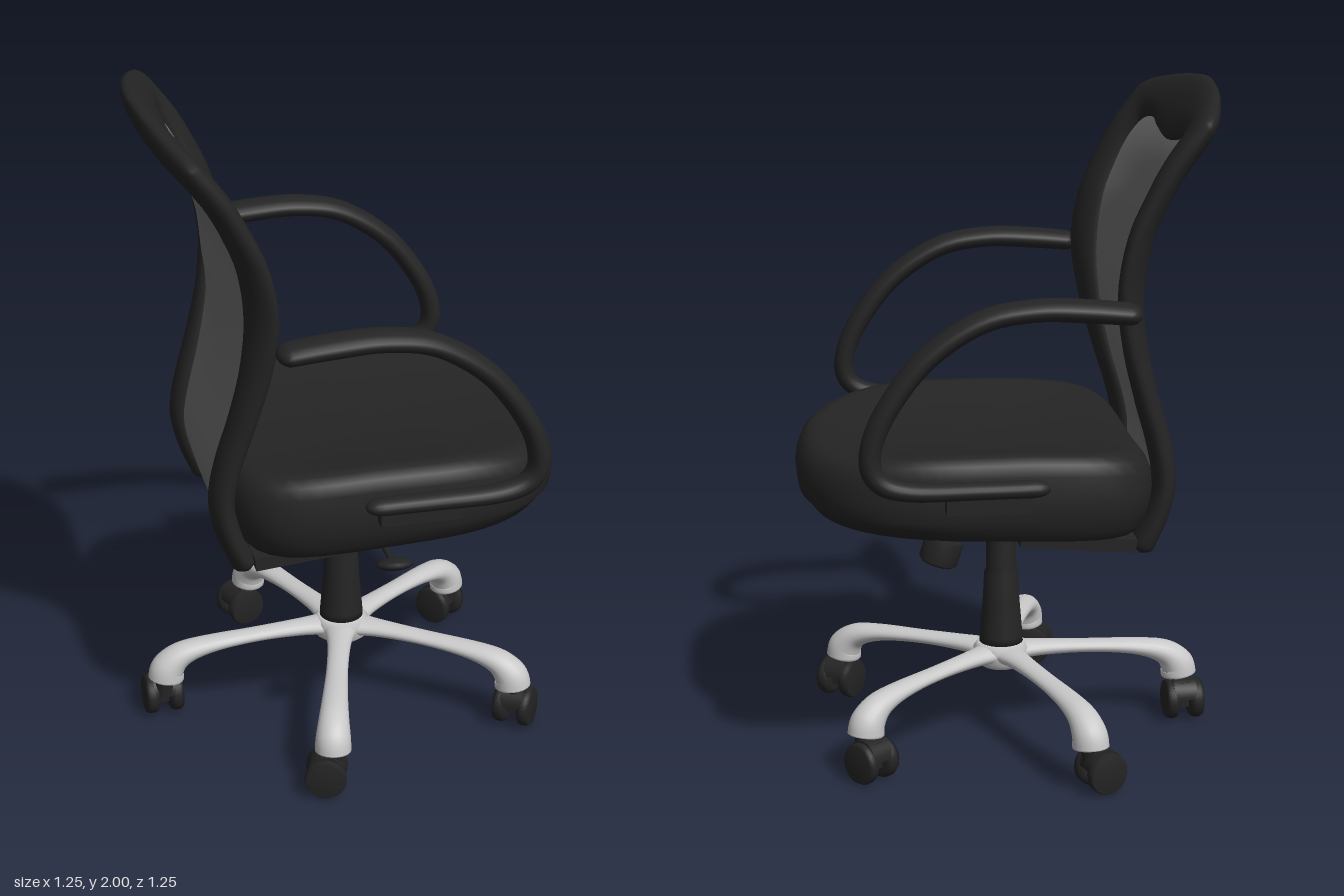
import * as THREE from 'three';

const mat = (name, color) => Object.assign(new THREE.MeshStandardMaterial({ color }), { name });
const V = (x, y, z) => new THREE.Vector3(x, y, z);

// Smooth interpolation in a table of [key, value] rows with rising keys
function interp(tab, k) {
  const n = tab.length - 1;
  let i = 0;
  while (i < n - 1 && k > tab[i + 1][0]) i++;
  const slope = (j) => {
    const a = tab[Math.max(j - 1, 0)], b = tab[Math.min(j + 1, n)];
    return (b[1] - a[1]) / (b[0] - a[0]);
  };
  const [x0, y0] = tab[i], [x1, y1] = tab[i + 1], h = x1 - x0;
  const t = Math.min(1, Math.max(0, (k - x0) / h)), t2 = t * t, t3 = t2 * t;
  return y0 * (2 * t3 - 3 * t2 + 1) + h * slope(i) * (t3 - 2 * t2 + t)
    + y1 * (3 * t2 - 2 * t3) + h * slope(i + 1) * (t3 - t2);
}

// Skin between rings of points; closed rings are turned so that faces point outward
function loft(rings, closed = true) {
  const m = rings[0].length, pos = [], idx = [];
  rings.forEach((r) => r.forEach((p) => pos.push(p.x, p.y, p.z)));
  for (let i = 0; i < rings.length - 1; i++) {
    for (let j = 0; j < (closed ? m : m - 1); j++) {
      const k = (j + 1) % m, a = i * m + j, b = i * m + k, c = a + m, d = b + m;
      idx.push(a, b, d, a, d, c);
    }
  }
  if (closed) {
    const P = (i) => V(pos[3 * i], pos[3 * i + 1], pos[3 * i + 2]);
    let vol = 0;
    for (let i = 0; i < idx.length; i += 3) vol += P(idx[i]).dot(P(idx[i + 1]).cross(P(idx[i + 2])));
    if (vol < 0) idx.reverse();
  }
  const g = new THREE.BufferGeometry();
  g.setAttribute('position', new THREE.Float32BufferAttribute(pos, 3));
  g.setIndex(idx);
  g.computeVertexNormals();
  return g;
}

// Oval bar along a path in the xy plane; rows are [x, y, half thickness, half width]
function sweep(rows, sides = 20) {
  const path = new THREE.CatmullRomCurve3(rows.map((r) => V(r[0], r[1], 0)), false, 'catmullrom');
  const size = new THREE.CatmullRomCurve3(rows.map((r) => V(r[2], r[3], 0)), false, 'catmullrom');
  const e = 0.025, end = [0, 0.001, 0.004, 0.009, 0.016];
  const ts = [...end];
  for (let i = 0; i <= 48; i++) ts.push(e + (1 - 2 * e) * i / 48);
  ts.push(...end.map((t) => 1 - t).reverse());
  return loft(ts.map((t) => {
    const p = path.getPoint(t), d = path.getTangent(t), s = size.getPoint(t);
    const f = Math.max(0, (e - Math.min(t, 1 - t)) / e), k = Math.sqrt(Math.max(0, 1 - f * f));
    return Array.from({ length: sides }, (_, j) => {
      const a = j / sides * Math.PI * 2, o = Math.sin(a) * s.x * k;
      return V(p.x - d.y * o, p.y + d.x * o, Math.cos(a) * s.y * k);
    });
  }));
}

// Backrest surface: S-shaped edge profile and hollow across the width
const EDGE = [[0.66, -0.34], [0.78, -0.39], [0.88, -0.408], [1, -0.385], [1.13, -0.34], [1.3, -0.285],
  [1.45, -0.265], [1.6, -0.30], [1.7, -0.35], [1.8, -0.41], [1.9, -0.485], [2, -0.55]];
const BOW = [[0.66, 0.015], [1, 0.02], [1.15, 0.04], [1.45, 0.115], [1.6, 0.095], [1.8, 0.05], [2, 0.045]];
const backX = (y, z) => interp(EDGE, y) - interp(BOW, y) * (1 - (z / 0.47) ** 2);

function backFrame() {
  // Matching half outlines [z, y] from the top centre down to the foot
  const outer = [[0, 2], [0.2, 1.985], [0.38, 1.955], [0.462, 1.93], [0.477, 1.89], [0.468, 1.75], [0.45, 1.5],
    [0.42, 1.2], [0.4, 1], [0.395, 0.8], [0.385, 0.69], [0.36, 0.66]];
  const inner = [[0, 1.82], [0.12, 1.83], [0.22, 1.85], [0.3, 1.845], [0.335, 1.81], [0.345, 1.72], [0.33, 1.5],
    [0.295, 1.2], [0.27, 1], [0.265, 0.8], [0.26, 0.69], [0.28, 0.66]];
  const curve = (h) => new THREE.CatmullRomCurve3(
    [...h.slice(1).reverse().map(([z, y]) => V(0, y, -z)), ...h.map(([z, y]) => V(0, y, z))], false, 'catmullrom');
  const A = curve(outer), B = curve(inner), N = 140, K = 18, rings = [];
  for (let i = 0; i <= N; i++) {
    const t = i / N, a = A.getPoint(t), b = B.getPoint(t), th = 0.036 * Math.min(1, Math.sqrt(Math.min(t, 1 - t) / 0.03));
    rings.push(Array.from({ length: K }, (_, j) => {
      const q = j / K * Math.PI * 2, p = a.clone().lerp(b, (1 - Math.cos(q)) / 2);
      const slope = (backX(p.y + 0.01, p.z) - backX(p.y - 0.01, p.z)) / 0.02, o = th * Math.sin(q) / Math.hypot(1, slope);
      return V(backX(p.y, p.z) + o, p.y - slope * o, p.z);
    }));
  }
  return loft(rings);
}

function backMesh() {
  const rings = [];
  for (let i = 0; i <= 40; i++) {
    const y = 0.665 + 1.215 * i / 40, w = 0.3 + 0.1 * i / 40;
    rings.push(Array.from({ length: 25 }, (_, j) => {
      const z = w * (1 - j / 12);
      return V(backX(y, z), y, z);
    }));
  }
  return loft(rings, false);
}

// Seat cushion: rounded outline scaled through a profile of [scale, height]
function cushion() {
  const prof = [[0, 0.735], [0.5, 0.735], [0.84, 0.735], [0.92, 0.745], [0.965, 0.775], [0.99, 0.815], [1, 0.86],
    [0.992, 0.9], [0.965, 0.935], [0.92, 0.958], [0.85, 0.965], [0.7, 0.957], [0.5, 0.95], [0.25, 0.945], [0, 0.945]];
  const M = 72;
  return loft(prof.map(([s, y]) => Array.from({ length: M }, (_, j) => {
    const a = j / M * Math.PI * 2, c = Math.cos(a), d = Math.sin(a), n = c > 0 ? 2.7 : 5;
    const r = s / (Math.abs(c) ** n + Math.abs(d) ** n) ** (1 / n);
    const x = 0.12 + 0.515 * c * r, z = 0.51 * d * r;
    const shape = y > 0.87 ? 0.035 * (z / 0.45) ** 2 - 0.04 * Math.max(0, -x) - 0.05 * Math.max(0, x - 0.3)
      : y < 0.8 ? 0.045 * x : 0;
    return V(x, y + shape, z);
  })));
}

export function createModel() {
  const root = new THREE.Group();
  const black = mat('black', 0x242424), silver = mat('silver', 0xc8c8c8), grey = mat('mesh grey', 0x707070);
  grey.side = THREE.DoubleSide;
  const add = (name, geo, m, parent = root, x = 0, y = 0, z = 0) => {
    const o = new THREE.Mesh(geo, m);
    o.name = name;
    o.position.set(x, y, z);
    parent.add(o);
    return o;
  };
  const group = (name, parent = root) => {
    const g = new THREE.Group();
    g.name = name;
    parent.add(g);
    return g;
  };
  const box = (w, h, d) => new THREE.BoxGeometry(w, h, d);
  const lathe = (pts) => new THREE.LatheGeometry(pts.map((p) => new THREE.Vector2(...p)), 28);

  // Back and seat
  add('backFrame', backFrame(), black);
  add('backMesh', backMesh(), grey);
  add('seatCushion', cushion(), black);

  // Armrests and lower back brackets on both sides
  for (const s of [1, -1]) {
    const arm = group(s > 0 ? 'leftArm' : 'rightArm');
    add('armLoop', sweep([[-0.3, 1.415, 0.03, 0.056], [-0.15, 1.43, 0.032, 0.058], [0, 1.435, 0.031, 0.057],
      [0.15, 1.405, 0.031, 0.054], [0.3, 1.305, 0.031, 0.05], [0.41, 1.16, 0.031, 0.045], [0.453, 1.04, 0.031, 0.04],
      [0.43, 0.965, 0.03, 0.037], [0.34, 0.933, 0.027, 0.036], [0.15, 0.93, 0.025, 0.035], [-0.05, 0.93, 0.025, 0.034]]),
    black, arm, 0, 0, s * 0.567);
    add('armBracket', box(0.24, 0.07, 0.09), black, arm, 0.12, 0.89, s * 0.505);
    add('backBracket', box(0.34, 0.04, 0.13), black, root, -0.16, 0.705, s * 0.32).rotation.z = 0.09;
  }

  // Tilt mechanism, lever and tension knob
  add('tiltMechanism', box(0.36, 0.06, 0.15), black, root, 0.06, 0.72, 0);
  add('leverRod', new THREE.CylinderGeometry(0.009, 0.009, 0.45, 10), black, root, 0.05, 0.708, 0.27).rotation.x = Math.PI / 2;
  const paddle = add('leverPaddle', new THREE.SphereGeometry(1, 16, 10), black, root, 0.05, 0.715, 0.515);
  paddle.scale.set(0.055, 0.018, 0.048);
  paddle.rotation.x = -0.3;
  const knob = group('tensionKnob');
  knob.position.set(0.145, 0.75, 0);
  knob.rotation.z = 0.31;
  const ribs = [];
  for (let i = 0; i <= 16; i++) ribs.push([i % 2 ? 0.042 : 0.055, -0.15 + i * 0.01]);
  add('bellows', lathe(ribs), black, knob);
  add('knobGrip', lathe([[0, -0.225], [0.05, -0.225], [0.06, -0.215], [0.06, -0.15], [0.052, -0.14], [0, -0.14]]), black, knob);

  // Gas lift
  const cx = 0.017;
  add('liftRod', new THREE.CylinderGeometry(0.026, 0.026, 0.12, 20), black, root, cx, 0.68, 0);
  add('liftColumn', lathe([[0, 0.27], [0.068, 0.27], [0.066, 0.3], [0.056, 0.42], [0.052, 0.5], [0.047, 0.51],
    [0.045, 0.625], [0.042, 0.635], [0, 0.635]]), black, root, cx);

  // Star base with five casters
  const base = group('starBase');
  base.position.x = cx;
  add('hub', lathe([[0, 0.2], [0.06, 0.2], [0.085, 0.22], [0.085, 0.262], [0.07, 0.278], [0, 0.28]]), silver, base);
  const legGeo = sweep([[0.02, 0.245, 0.03, 0.06], [0.13, 0.247, 0.024, 0.038], [0.28, 0.243, 0.02, 0.033],
    [0.42, 0.232, 0.025, 0.038], [0.51, 0.21, 0.037, 0.045], [0.555, 0.17, 0.052, 0.052], [0.565, 0.128, 0.056, 0.054]]);
  const wheelGeo = lathe([[0, -0.021], [0.045, -0.021], [0.058, -0.014], [0.062, -0.004], [0.062, 0.01], [0.056, 0.021], [0, 0.021]]);
  const hoodGeo = new THREE.CylinderGeometry(0.056, 0.056, 0.07, 20, 1, false, 0, Math.PI);
  [0.035, -0.03, -0.03, -0.01, 0.02].forEach((trail, i) => {
    const leg = group('leg' + (i + 1), base);
    leg.rotation.y = -(178 + 72 * i) * Math.PI / 180;
    add('legArm', legGeo, silver, leg);
    const caster = group('caster', leg);
    caster.position.set(0.57, 0.063, trail);
    add('stem', new THREE.CylinderGeometry(0.028, 0.028, 0.07, 16), black, caster, 0, 0.05, -trail);
    add('hood', hoodGeo, black, caster, 0, 0.012, 0).rotation.set(0, 0, Math.PI / 2);
    add('axleBlock', box(0.03, 0.08, 0.06), black, caster, 0, 0.02, 0);
    for (const s of [1, -1]) add('wheel', wheelGeo, black, caster, s * 0.037, 0, 0).rotation.z = -s * Math.PI / 2;
  });
  return root;
}
